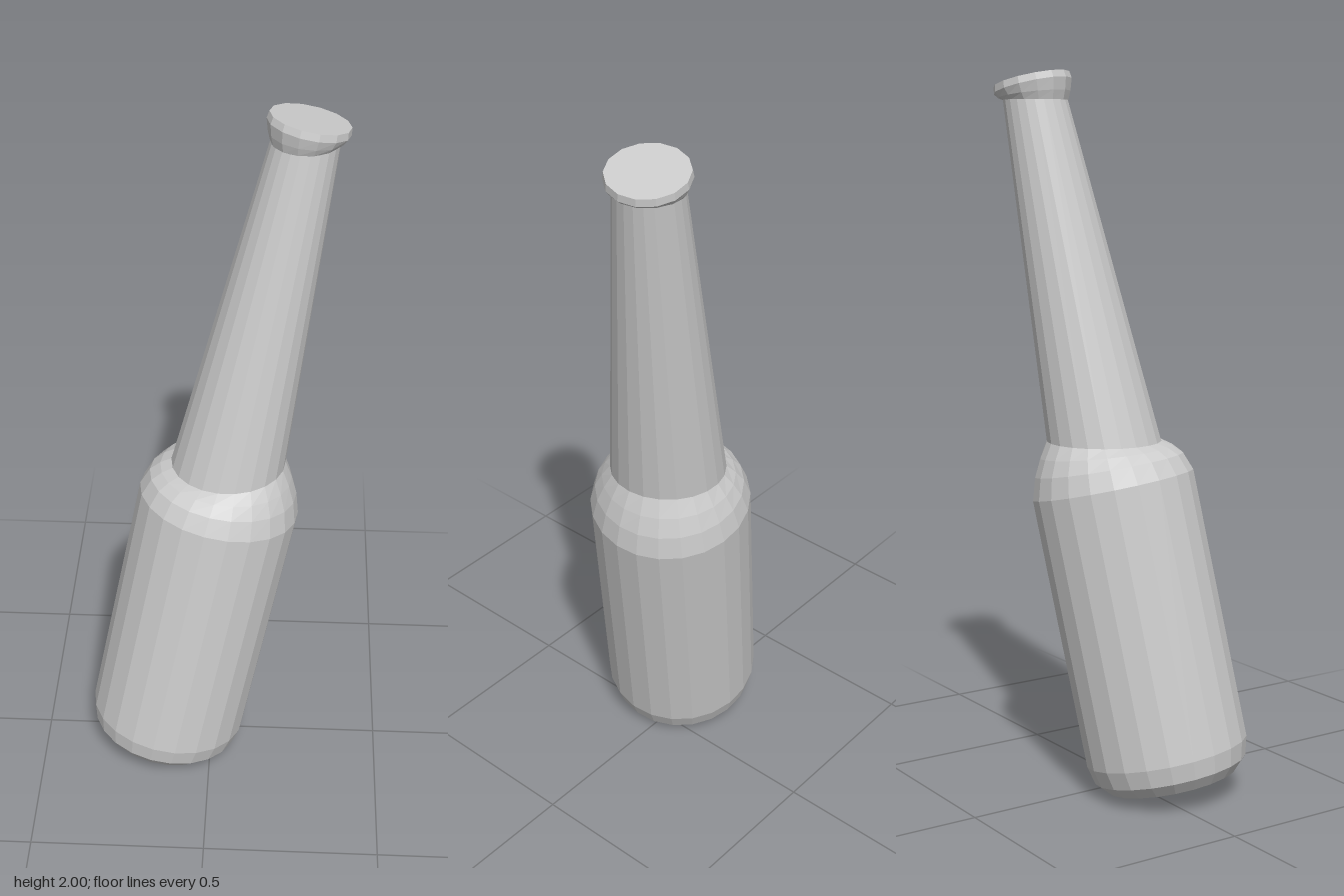
import * as THREE from 'three';

// Leaning centre line: x and z drift as y rises
const LEAN_X = 0.2, LEAN_Z = -0.108;
const axisAt = (y) => [0.045 + LEAN_X * (y - 0.99), -0.05 + LEAN_Z * (y - 0.99)];

const material = new THREE.MeshStandardMaterial({ color: 0xcccccc, flatShading: true });

// Skin over rings [height, radius, tilt]; tilt 1 is square to the axis, 0 is level
function loft(name, rings, sides) {
  const positions = [], index = [];
  for (const [y, r, tilt] of rings) {
    const [cx, cz] = axisAt(y);
    for (let i = 0; i < sides; i++) {
      const a = (i / sides) * Math.PI * 2;
      const dx = r * Math.cos(a), dz = r * Math.sin(a);
      positions.push(cx + dx, y - tilt * (LEAN_X * dx + LEAN_Z * dz), cz + dz);
    }
  }
  for (let k = 0; k < rings.length - 1; k++) {
    for (let i = 0; i < sides; i++) {
      const j = (i + 1) % sides;
      const a = k * sides + i, b = k * sides + j, c = a + sides, d = b + sides;
      if (rings[k][1] > 0) index.push(a, c, b);
      if (rings[k + 1][1] > 0) index.push(b, c, d);
    }
  }
  // A ring of zero radius closes to a point
  const indexed = new THREE.BufferGeometry();
  indexed.setAttribute('position', new THREE.Float32BufferAttribute(positions, 3));
  indexed.setIndex(index);
  const geometry = indexed.toNonIndexed();
  geometry.computeVertexNormals();
  const mesh = new THREE.Mesh(geometry, material);
  mesh.name = name;
  return mesh;
}

export function createModel() {
  const bottle = new THREE.Group();
  bottle.name = 'bottle';

  // Body: rounded base, straight wall, shoulder levelling out to the neck
  bottle.add(loft('body', [
    [0.031, 0, 1],
    [0.031, 0.135, 1],
    [0.043, 0.18, 1],
    [0.075, 0.211, 1],
    [0.125, 0.224, 1],
    [0.865, 0.224, 1],
    [0.92, 0.207, 0.85],
    [0.957, 0.185, 0.5],
    [0.988, 0.16, 0],
  ], 22));

  // Long tapering neck
  bottle.add(loft('neck', [
    [0.985, 0.16, 0],
    [1.92, 0.09, 0],
  ], 22));

  // Flared lip with a closed, tilted top
  bottle.add(loft('lip', [
    [1.92, 0, 0],
    [1.92, 0.091, 0],
    [1.935, 0.1, 0.5],
    [1.957, 0.108, 1],
    [1.976, 0.105, 1],
    [1.976, 0, 1],
  ], 14));

  return bottle;
}
